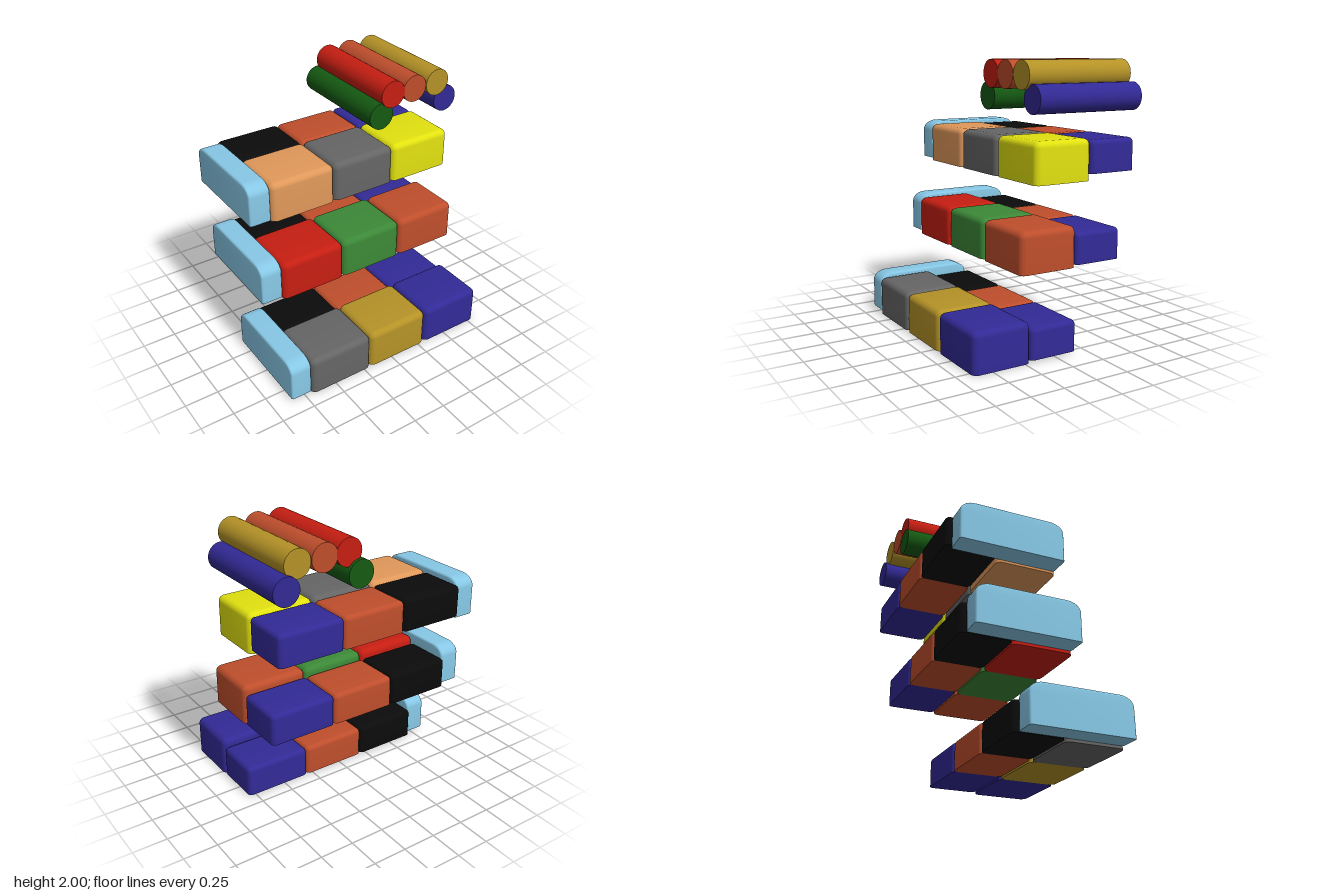
import * as THREE from 'three';
import { toCreasedNormals } from 'three/addons/utils/BufferGeometryUtils.js';
import { RoundedBoxGeometry } from 'three/addons/geometries/RoundedBoxGeometry.js';

const C = {
  sky: 0x87c8e6, peach: 0xe0985a, grey: 0x656565, yellow: 0xe0e010, red: 0xc61e12,
  green: 0x3c8837, darkGreen: 0x155a12, orange: 0xbe4e2c, gold: 0xb49227,
  blue: 0x322a96, black: 0x0b0b0b,
};

function addMesh(parent, name, geometry, color) {
  const mesh = new THREE.Mesh(geometry, new THREE.MeshStandardMaterial({ color }));
  mesh.name = name;
  parent.add(mesh);
}

// Press everything below the given height flat, leaving a sharp bottom edge
function flattenBelow(geometry, y) {
  const p = geometry.attributes.position;
  for (let i = 0; i < p.count; i++) p.setY(i, Math.max(p.getY(i), y));
  return toCreasedNormals(geometry, 0.6);
}

// Block with rounded top and upright edges and a flat bottom
function block(x0, x1, y0, y1, z0, z1, r) {
  const g = new RoundedBoxGeometry(x1 - x0, y1 - y0 + r, z1 - z0, 4, r);
  g.translate((x0 + x1) / 2, (y0 + y1 - r) / 2, (z0 + z1) / 2);
  return flattenBelow(g, y0);
}

// Long narrow arm: side profile with wide rounded top corners, small bevel
function arm(x0, x1, y0, y1, z0, z1) {
  const b = 0.015, rz = 0.09, ry = 0.06;
  const a = -z1 + b, e = -z0 - b, top = y1 - b;
  const s = new THREE.Shape();
  s.moveTo(a, y0);
  s.lineTo(e, y0);
  s.lineTo(e, top - ry);
  s.bezierCurveTo(e, top - ry * 0.45, e - rz * 0.45, top, e - rz, top);
  s.lineTo(a + rz, top);
  s.bezierCurveTo(a + rz * 0.45, top, a, top - ry * 0.45, a, top - ry);
  const g = new THREE.ExtrudeGeometry(s, {
    depth: x1 - x0 - 2 * b, bevelThickness: b, bevelSize: b, bevelSegments: 3, curveSegments: 8,
  });
  g.rotateY(Math.PI / 2);
  g.translate(x0 + b, 0, 0);
  return flattenBelow(g, y0);
}

export function createModel() {
  const model = new THREE.Group();
  model.name = 'stackedBlocks';
  const edges = [-0.695, -0.192, 0.308, 0.81];
  const columns = ['Left', 'Middle', 'Right'];
  const backColors = [C.black, C.orange, C.blue];

  // Three tiers, each stepping back from the one below
  const tiers = [
    { name: 'lowerTier', front: [0, 0.29, 0.207, 0.645], back: [0.015, 0.24, -0.165, 0.207],
      arm: [0.02, 0.31, -0.125, 0.632], colors: [C.grey, C.gold, C.blue] },
    { name: 'middleTier', front: [0.61, 0.9, -0.155, 0.287], back: [0.625, 0.85, -0.525, -0.155],
      arm: [0.63, 0.92, -0.485, 0.272], colors: [C.red, C.green, C.orange] },
    { name: 'upperTier', front: [1.195, 1.482, -0.265, 0.178], back: [1.24, 1.47, -0.636, -0.265],
      arm: [1.21, 1.5, -0.598, 0.163], colors: [C.peach, C.grey, C.yellow] },
  ];
  for (const t of tiers) {
    const tier = new THREE.Group();
    tier.name = t.name;
    columns.forEach((col, i) => {
      addMesh(tier, 'frontBlock' + col, block(edges[i], edges[i + 1], ...t.front, 0.045), t.colors[i]);
      addMesh(tier, 'backBlock' + col, block(edges[i], edges[i + 1], ...t.back, 0.035), backColors[i]);
    });
    addMesh(tier, 'sideArm', arm(-0.857, -0.697, ...t.arm), C.sky);
    model.add(tier);
  }

  // Arch of rollers lying front to back above the tiers
  const rollers = new THREE.Group();
  rollers.name = 'rollers';
  const rolls = [
    [0.195, 1.75, -0.65, 0.178, C.darkGreen],
    [0.275, 1.903, -0.627, 0.2, C.red],
    [0.46, 1.903, -0.627, 0.2, C.orange],
    [0.66, 1.903, -0.627, 0.2, C.gold],
    [0.755, 1.75, -0.65, 0.178, C.blue],
  ];
  rolls.forEach(([x, y, z0, z1, color], i) => {
    const g = new THREE.CylinderGeometry(0.098, 0.098, z1 - z0, 32);
    g.rotateX(Math.PI / 2);
    g.translate(x, y, (z0 + z1) / 2);
    addMesh(rollers, 'roller' + (i + 1), g, color);
  });
  model.add(rollers);
  return model;
}
